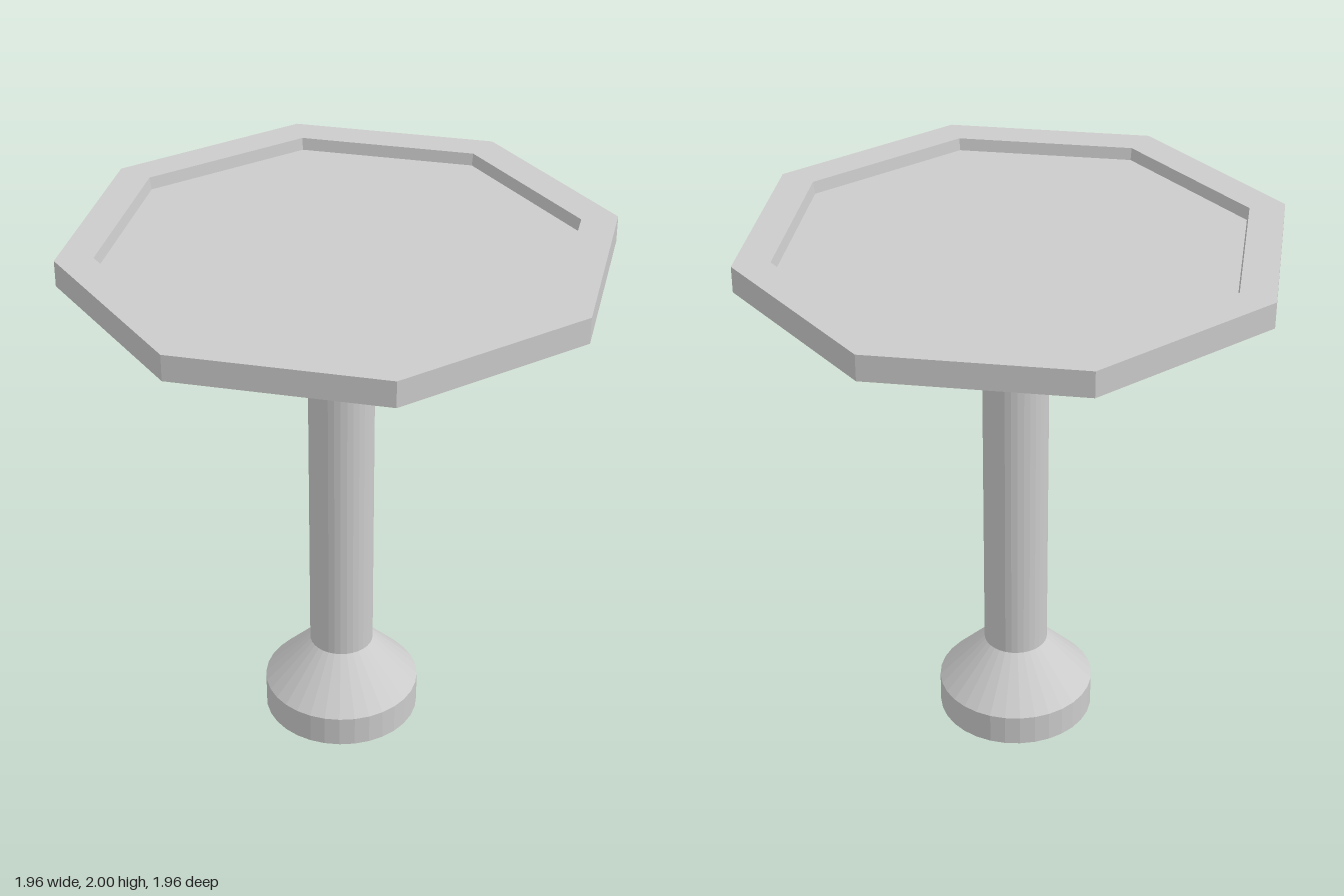
import * as THREE from 'three';

const material = new THREE.MeshStandardMaterial({ color: 0xcccccc, flatShading: true });

// Revolved part; profile pairs [radius, y] run from the bottom axis outward and up
function turned(name, profile, sides) {
  const points = profile.map(([r, y]) => new THREE.Vector2(r, y));
  const mesh = new THREE.Mesh(new THREE.LatheGeometry(points, sides), material);
  mesh.name = name;
  return mesh;
}

export function createModel() {
  const table = new THREE.Group();
  table.name = 'pedestalTable';

  // Weighted foot with a sloping shoulder
  table.add(turned('foot', [[0, 0], [0.293, 0], [0.293, 0.12], [0.12, 0.3]], 32));

  // Straight column
  table.add(turned('column', [[0.12, 0.3], [0.12, 1.775]], 32));

  // Flared support under the top
  table.add(turned('flare', [[0.12, 1.775], [0.34, 1.905]], 32));

  // Octagonal top with a raised rim around a recessed surface
  table.add(turned('tabletop', [
    [0, 1.905], [0.98, 1.905], [0.98, 2], [0.847, 2], [0.84, 1.955], [0, 1.955],
  ], 8));

  return table;
}
